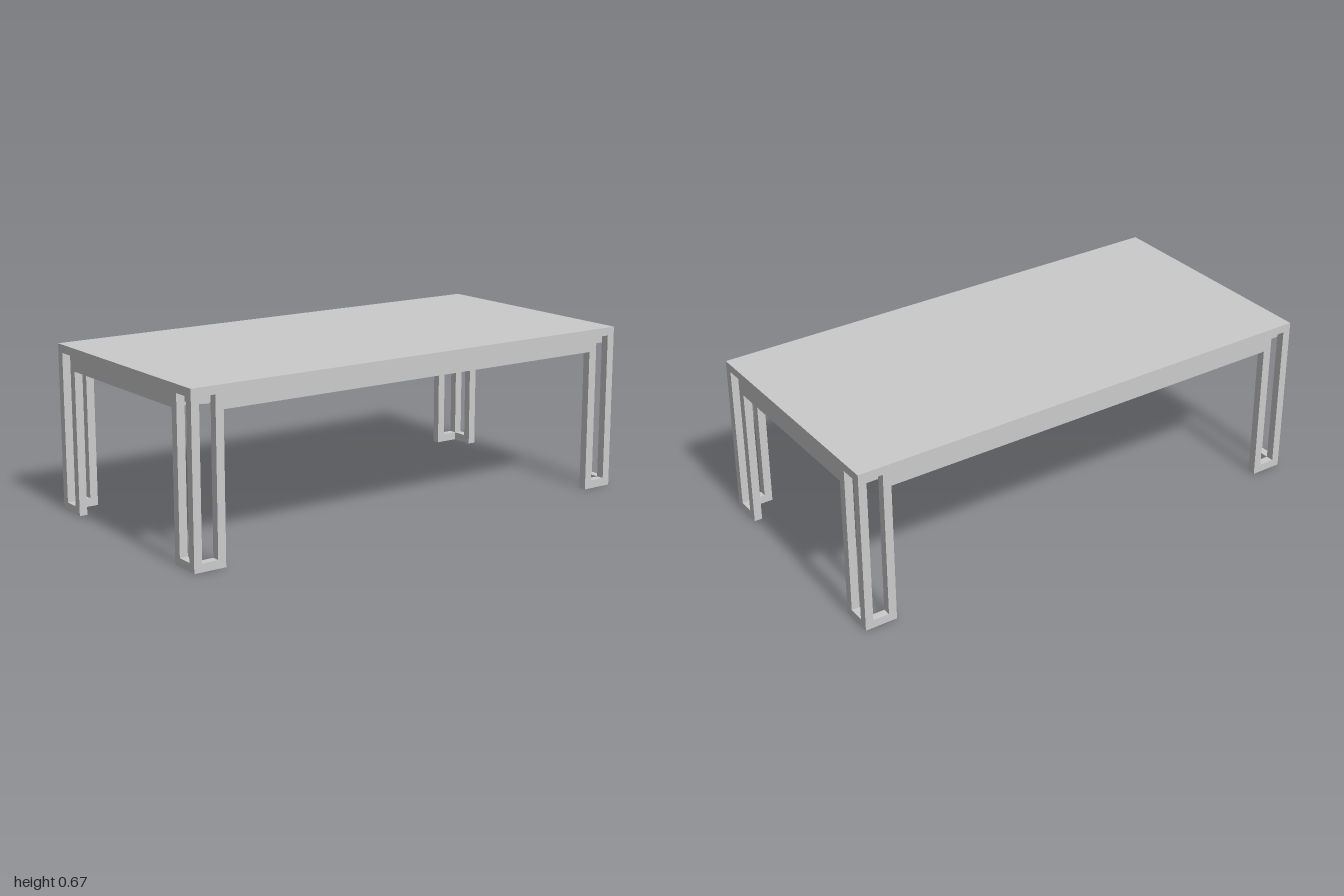
import * as THREE from 'three';

const W = 2, D = 1, H = 0.667;      // overall size
const T = 0.033;                    // bar and panel thickness
const LEG = 0.132;                  // leg width on each face
const APRON = 0.577, SLAB = 0.6;    // undersides of apron and top

const material = new THREE.MeshStandardMaterial({ color: 0xcccccc, flatShading: true });

function extrude(points, holes, depth) {
  const toV = (p) => new THREE.Vector2(p[0], p[1]);
  const shape = new THREE.Shape(points.map(toV));
  for (const h of holes) shape.holes.push(new THREE.Path(h.map(toV)));
  return new THREE.ExtrudeGeometry(shape, { depth, bevelEnabled: false });
}

// Apron with a slotted leg face at each end, outer face on z = 0
function sidePanel(length) {
  const e = length / 2, i = e - LEG;
  const outline = [[-e, 0], [-i, 0], [-i, APRON], [i, APRON], [i, 0], [e, 0], [e, H], [-e, H]];
  const slots = [-1, 1].map((s) => {
    const a = s * (e - T), b = s * (i + T);
    return [[a, T], [b, T], [b, H - T], [a, H - T]];
  });
  return extrude(outline, slots, T).translate(0, 0, -T);
}

// Chamfered strip that wraps the inside of a leg, in plan (x, z)
function cornerBrace(sx, sz) {
  const x1 = W / 2 - T, z1 = D / 2 - T;
  const xi = W / 2 - LEG, zi = D / 2 - LEG;
  const xo = xi - T, zo = zi - T, c = 0.05, k = 0.036;
  const plan = [
    [xo, z1], [xo, zo + c], [xo + c, zo], [x1, zo],
    [x1, zi], [xi + k, zi], [xi, zi + k], [xi, z1],
  ].map(([x, z]) => [x * sx, -z * sz]);
  return extrude(plan, [], SLAB - APRON).rotateX(-Math.PI / 2).translate(0, APRON, 0);
}

export function createModel() {
  const group = new THREE.Group();
  const add = (name, geometry) => {
    const mesh = new THREE.Mesh(geometry, material);
    mesh.name = name;
    group.add(mesh);
    return mesh;
  };

  // Table top set between the four panels
  add('tableTop', new THREE.BoxGeometry(W - 2 * T, H - SLAB, D - 2 * T)).position.y = (H + SLAB) / 2;

  // Four panels, each an apron with its two leg faces
  ['front', 'left', 'back', 'right'].forEach((side, n) => {
    const long = n % 2 === 0;
    const geometry = sidePanel(long ? W : D).translate(0, 0, (long ? D : W) / 2);
    add(side + 'ApronAndLegs', geometry.rotateY((n * Math.PI) / 2));
  });

  // Braces behind the legs
  for (const sx of [-1, 1]) for (const sz of [-1, 1]) {
    add((sz > 0 ? 'front' : 'back') + (sx > 0 ? 'Left' : 'Right') + 'Brace', cornerBrace(sx, sz));
  }
  return group;
}
